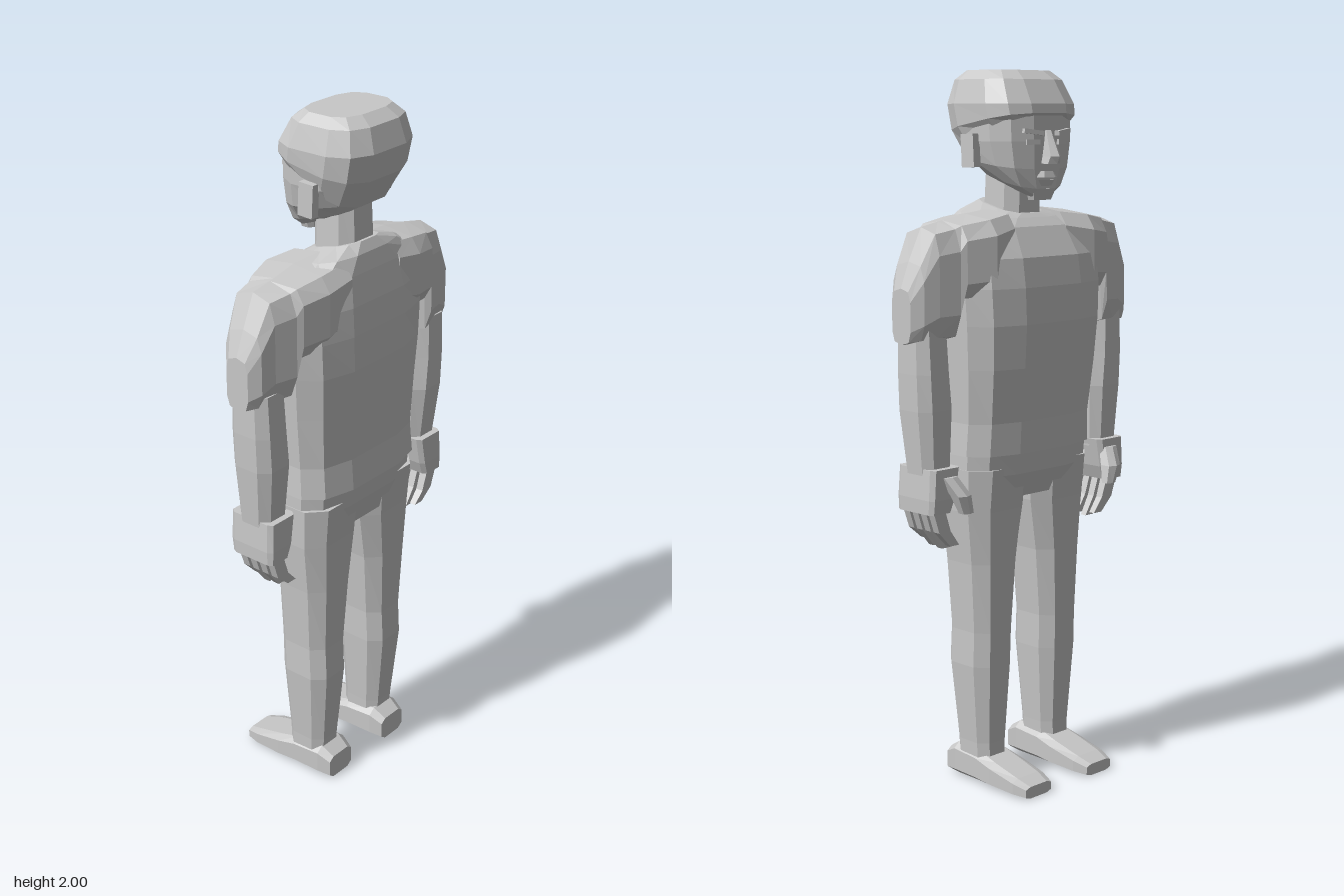
import * as THREE from 'three';

const grey = new THREE.MeshStandardMaterial({ color: 0xc8c8c8 });
grey.name = 'plain grey';
const V = (x, y, z) => new THREE.Vector3(x, y, z);

// Rounded outline as unit pairs; a smaller power gives squarer corners
function outline(n, power) {
  return Array.from({ length: n }, (_, i) => {
    const a = ((i + 0.5) / n) * Math.PI * 2;
    const f = (t) => Math.sign(t) * Math.abs(t) ** power;
    return [f(Math.cos(a)), f(Math.sin(a))];
  });
}

// Level ring; zf and zb are its front and back, tilt raises the back
function ringY(y, cx, hw, zf, zb, n = 12, power = 0.65, tilt = 0) {
  const mid = (zf + zb) / 2, hz = (zb - zf) / 2;
  return outline(n, power).map(([u, v]) => V(cx + u * hw, y + v * tilt, mid + v * hz));
}

// Upright ring facing x
function ringX(x, y0, y1, z0, z1, n = 10, power = 0.55) {
  return outline(n, power).map(([u, v]) =>
    V(x, (y0 + y1) / 2 + v * (y1 - y0) / 2, (z0 + z1) / 2 + u * (z1 - z0) / 2));
}

// Upright ring facing z
function ringZ(z, cx, hw, y0, y1, n = 8, power = 0.5) {
  return outline(n, power).map(([u, v]) =>
    V(cx + u * hw, (y0 + y1) / 2 + v * (y1 - y0) / 2, z));
}

// Skin over rings with closed ends, faceted, turned outwards by its volume
function loft(rings) {
  const tris = [];
  const n = rings[0].length;
  for (let r = 0; r < rings.length - 1; r++) {
    for (let i = 0; i < n; i++) {
      const j = (i + 1) % n;
      const a = rings[r][i], b = rings[r][j], c = rings[r + 1][j], d = rings[r + 1][i];
      tris.push([a, b, c], [a, c, d]);
    }
  }
  const first = rings[0], last = rings[rings.length - 1];
  for (let i = 1; i < n - 1; i++) {
    tris.push([first[0], first[i + 1], first[i]], [last[0], last[i], last[i + 1]]);
  }
  let volume = 0;
  for (const [a, b, c] of tris) volume += a.dot(b.clone().cross(c));
  const points = tris.flatMap(([a, b, c]) => (volume < 0 ? [a, c, b] : [a, b, c]));
  const g = new THREE.BufferGeometry().setFromPoints(points);
  g.computeVertexNormals();
  return g;
}

function add(parent, name, geometry) {
  const m = new THREE.Mesh(geometry, grey);
  m.name = name;
  parent.add(m);
  return m;
}

function box(parent, name, w, h, d, x, y, z) {
  const m = add(parent, name, new THREE.BoxGeometry(w, h, d));
  m.position.set(x, y, z);
  return m;
}

function makeTorso(root) {
  add(root, 'shirt', loft([
    ringY(0.96, 0, 0.242, -0.1, 0.158),
    ringY(1.05, 0, 0.238, -0.103, 0.15),
    ringY(1.2, 0, 0.248, -0.122, 0.157),
    ringY(1.32, 0, 0.256, -0.132, 0.165),
    ringY(1.42, 0, 0.262, -0.13, 0.165),
    ringY(1.5, 0, 0.26, -0.118, 0.16),
    ringY(1.58, 0, 0.235, -0.075, 0.145),
    ringY(1.615, 0, 0.16, -0.05, 0.135, 12, 0.7, 0.012),
    ringY(1.635, 0, 0.08, -0.035, 0.12, 12, 0.7, 0.02),
  ]));
  add(root, 'hips', loft([
    ringY(0.83, 0, 0.21, -0.06, 0.125),
    ringY(0.9, 0, 0.235, -0.085, 0.14),
    ringY(0.98, 0, 0.236, -0.094, 0.148),
  ]));
  add(root, 'neck', loft([
    ringY(1.58, 0, 0.075, -0.035, 0.11, 8),
    ringY(1.8, 0, 0.068, -0.035, 0.1, 8),
  ]));
}

function makeHead(root) {
  const head = new THREE.Group();
  head.name = 'head';
  root.add(head);
  // Jaw and face
  add(head, 'face', loft([
    ringY(1.69, 0, 0.055, -0.092, 0.08, 12, 0.75, 0.035),
    ringY(1.71, 0, 0.1, -0.098, 0.1, 12, 0.75, 0.028),
    ringY(1.75, 0, 0.132, -0.102, 0.12, 12, 0.75, 0.015),
    ringY(1.81, 0, 0.147, -0.106, 0.15, 12, 0.75),
    ringY(1.89, 0, 0.15, -0.106, 0.16, 12, 0.75),
  ]));
  // Hair, slanting down towards the nape
  add(head, 'hair', loft([
    ringY(1.815, 0, 0.135, -0.1, 0.13, 12, 0.65, -0.06),
    ringY(1.86, 0, 0.157, -0.112, 0.175, 12, 0.65, -0.025),
    ringY(1.91, 0, 0.16, -0.108, 0.19, 12, 0.65),
    ringY(1.975, 0, 0.142, -0.07, 0.17, 12, 0.65),
    ringY(2.0, 0, 0.118, -0.035, 0.135, 12, 0.65),
  ]));
  add(head, 'nose', loft([
    ringY(1.75, 0, 0.026, -0.138, -0.08, 6, 0.8),
    ringY(1.77, 0, 0.022, -0.146, -0.08, 6, 0.8),
    ringY(1.84, 0, 0.012, -0.113, -0.08, 6, 0.8),
  ]));
  add(head, 'upperLip', loft([
    ringY(1.713, 0, 0.04, -0.112, -0.06, 8), ringY(1.73, 0, 0.03, -0.106, -0.06, 8),
  ]));
  add(head, 'lowerLip', loft([
    ringY(1.69, 0, 0.028, -0.1, -0.06, 8), ringY(1.706, 0, 0.034, -0.107, -0.06, 8),
  ]));
  add(head, 'chin', loft([
    ringY(1.652, 0, 0.035, -0.092, -0.05, 8), ringY(1.682, 0, 0.045, -0.103, -0.05, 8),
  ]));
  for (const s of [-1, 1]) {
    const brow = box(head, 'brow', 0.062, 0.012, 0.02, s * 0.056, 1.835, -0.1);
    brow.rotation.set(0, s * -0.25, s * 0.12);
    const eye = box(head, 'eye', 0.042, 0.014, 0.009, s * 0.055, 1.808, -0.1);
    eye.rotation.y = s * -0.25;
    box(head, 'ear', 0.025, 0.09, 0.048, s * 0.152, 1.785, 0.042).rotation.x = 0.05;
  }
}

function makeArm(root, s) {
  const arm = new THREE.Group();
  arm.name = s > 0 ? 'leftArm' : 'rightArm';
  root.add(arm);
  // Shoulder and sleeve, with the armpit step underneath
  add(arm, 'sleeve', loft([
    ringX(s * 0.1, 1.42, 1.627, -0.08, 0.15),
    ringX(s * 0.19, 1.39, 1.617, -0.105, 0.15),
    ringX(s * 0.272, 1.385, 1.603, -0.075, 0.13),
    ringX(s * 0.288, 1.28, 1.6, -0.065, 0.12),
    ringX(s * 0.35, 1.28, 1.588, -0.05, 0.1),
    ringX(s * 0.392, 1.28, 1.5, -0.035, 0.09),
    ringX(s * 0.42, 1.28, 1.43, -0.01, 0.065),
  ]));
  add(arm, 'forearm', loft([
    ringY(0.92, s * 0.33, 0.052, -0.03, 0.08, 8),
    ringY(1.1, s * 0.335, 0.064, -0.04, 0.1, 8),
    ringY(1.2, s * 0.342, 0.06, -0.04, 0.1, 8),
    ringY(1.32, s * 0.345, 0.057, -0.035, 0.095, 8),
  ]));
  add(arm, 'palm', loft([
    ringY(0.82, s * 0.345, 0.037, -0.045, 0.1, 8, 0.25),
    ringY(0.86, s * 0.338, 0.046, -0.05, 0.102, 8, 0.25),
    ringY(0.943, s * 0.328, 0.052, -0.05, 0.1, 8, 0.25),
  ]));
  // Four fingers curling inwards
  for (let i = 0; i < 4; i++) {
    const z = -0.022 + i * 0.034, drop = [0.012, 0, 0.004, 0.02][i];
    add(arm, 'finger', loft([
      ringY(0.83, s * 0.347, 0.026, z - 0.015, z + 0.015, 4),
      ringY(0.765, s * 0.325, 0.026, z - 0.014, z + 0.014, 4),
      ringY(0.71 + drop, s * 0.288, 0.02, z - 0.012, z + 0.012, 4),
    ]));
  }
  add(arm, 'thumb', loft([
    ringY(0.82, s * 0.286, 0.02, -0.092, -0.06, 6),
    ringY(0.87, s * 0.3, 0.026, -0.095, -0.045, 6),
    ringY(0.92, s * 0.32, 0.026, -0.06, -0.02, 6),
  ]));
}

function makeLeg(root, s) {
  const leg = new THREE.Group();
  leg.name = s > 0 ? 'leftLeg' : 'rightLeg';
  root.add(leg);
  add(leg, 'trouserLeg', loft([
    ringY(0.07, s * 0.129, 0.054, -0.035, 0.095, 8),
    ringY(0.12, s * 0.129, 0.056, -0.035, 0.098, 8),
    ringY(0.35, s * 0.131, 0.074, -0.05, 0.12, 8),
    ringY(0.45, s * 0.13, 0.074, -0.053, 0.115, 8),
    ringY(0.65, s * 0.127, 0.09, -0.06, 0.124, 8),
    ringY(0.8, s * 0.122, 0.112, -0.067, 0.13, 8),
    ringY(0.92, s * 0.12, 0.118, -0.08, 0.14, 8),
  ]));
  add(leg, 'shoe', loft([
    ringZ(0.13, s * 0.124, 0.052, 0, 0.075),
    ringZ(0.09, s * 0.124, 0.062, 0, 0.1),
    ringZ(0, s * 0.124, 0.064, 0, 0.092),
    ringZ(-0.06, s * 0.124, 0.068, 0, 0.075),
    ringZ(-0.15, s * 0.124, 0.064, 0, 0.05),
    ringZ(-0.193, s * 0.124, 0.052, 0, 0.035),
  ]));
}

export function createModel() {
  const root = new THREE.Group();
  root.name = 'standingFigure';
  makeTorso(root);
  makeHead(root);
  for (const s of [-1, 1]) {
    makeArm(root, s);
    makeLeg(root, s);
  }
  return root;
}
